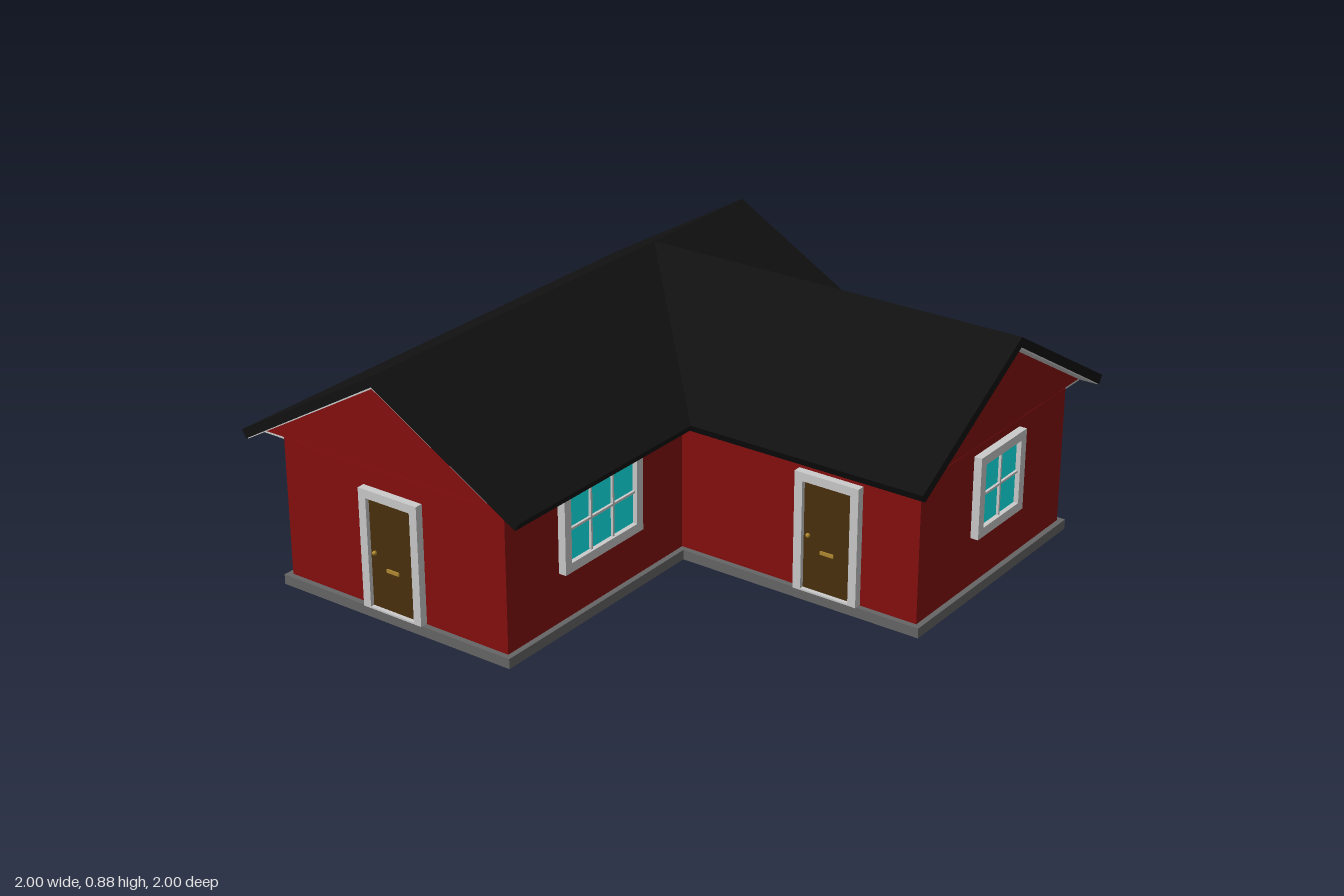
import * as THREE from 'three';

const mat = (color) => new THREE.MeshStandardMaterial({ color, flatShading: true });
const RED = mat(0x860f0f), BLACK = mat(0x111111), TRIM = mat(0xcccccc), STONE = mat(0x666666);
const GLASS = mat(0x0ff5f5), WOOD = mat(0x4a300c), METAL = mat(0xb08a30);

const RIDGE_X = 0.432, RIDGE_Z = -0.432; // ridge lines of the wing and of the main block

function add(parent, name, geometry, material, x = 0, y = 0, z = 0) {
  const mesh = new THREE.Mesh(geometry, material);
  mesh.name = name;
  mesh.position.set(x, y, z);
  parent.add(mesh);
  return mesh;
}

// L-shaped plan raised from y0 to y1, grown outwards by o
function plan(o, y0, y1) {
  const corners = [[-0.93 - o, 0.885 + o], [0.88 + o, 0.885 + o], [0.88 + o, -0.93 - o],
    [-0.025 - o, -0.93 - o], [-0.025 - o, -0.02 - o], [-0.93 - o, -0.02 - o]];
  const shape = new THREE.Shape(corners.map(([x, y]) => new THREE.Vector2(x, y)));
  return new THREE.ExtrudeGeometry(shape, { depth: y1 - y0, bevelEnabled: false })
    .rotateX(-Math.PI / 2).translate(0, y0, 0);
}

// Mirrored half profile [u, y], extruded from a to b along z;
// mitred ends slant back towards the main ridge so the wing tucks into the main roof
function gable(half, a, b, mitred) {
  const mirrored = half.filter(([u]) => u > 0).reverse().map(([u, y]) => [-u, y]);
  // the profile runs from the top of the ridge, around the right side, to the lower ridge
  const last = half[half.length - 1];
  const points = last[0] === 0
    ? [...half, ...mirrored]
    : [...half, ...mirrored];
  const shape = new THREE.Shape(points.map(([u, y]) => new THREE.Vector2(u, y)));
  const g = new THREE.ExtrudeGeometry(shape, { depth: b - a, bevelEnabled: false }).translate(0, 0, a);
  if (mitred) {
    const p = g.attributes.position;
    for (let i = 0; i < p.count; i++) {
      if (Math.abs(p.getZ(i) - a) < 1e-4) p.setZ(i, RIDGE_Z + Math.abs(p.getX(i)) * 0.8);
    }
    g.computeVertexNormals();
  }
  return g;
}

const SLAB = [[0, 0.875], [0.568, 0.547], [0.552, 0.519], [0, 0.84]];
const LINING = [[0, 0.842], [0.549, 0.525], [0.546, 0.519], [0, 0.834]];
const ATTIC = [[0, 0.84], [0.545, 0.525]];

// Attic, roof slab, grey lining under the overhang, and flat soffit
function gableRoof(name, a, b, wallA, wallB, mitred) {
  const roof = new THREE.Group();
  roof.name = name;
  add(roof, 'roofSlab', gable(SLAB, a, b, mitred), BLACK);
  add(roof, 'roofLining', gable(LINING, mitred ? a : a + 0.003, b - 0.003, mitred), TRIM);
  add(roof, 'gableWall', gable(ATTIC, wallA, wallB, mitred), RED);
  const s0 = mitred ? 0.022 : wallA + 0.002, s1 = wallB - 0.002;
  add(roof, 'soffit', new THREE.BoxGeometry(1.088, 0.01, s1 - s0), TRIM, 0, 0.522, (s0 + s1) / 2);
  return roof;
}

// Rectangular frame with an opening, standing on the z = 0 plane
function frame(w, h, border, bottom, depth) {
  const rect = (target, l, r, b, t) => {
    target.moveTo(l, b); target.lineTo(r, b); target.lineTo(r, t); target.lineTo(l, t);
    target.closePath();
    return target;
  };
  const shape = rect(new THREE.Shape(), -w / 2, w / 2, -h / 2, h / 2);
  shape.holes.push(rect(new THREE.Path(), -w / 2 + border, w / 2 - border, -h / 2 + bottom, h / 2 - border));
  return new THREE.ExtrudeGeometry(shape, { depth, bevelEnabled: false });
}

function windowUnit(w, columns) {
  const g = new THREE.Group(), h = 0.288, border = 0.032;
  g.name = 'window';
  const iw = w - 2 * border, ih = h - 2 * border;
  add(g, 'windowFrame', frame(w, h, border, border, 0.028), TRIM);
  add(g, 'glass', new THREE.BoxGeometry(iw, ih, 0.01), GLASS, 0, 0, 0.006);
  for (let i = 1; i < columns; i++) {
    add(g, 'verticalBar', new THREE.BoxGeometry(0.008, ih, 0.012), TRIM, -iw / 2 + iw * i / columns, 0, 0.014);
  }
  add(g, 'crossBar', new THREE.BoxGeometry(iw, 0.008, 0.012), TRIM, 0, 0, 0.014);
  return g;
}

function doorUnit() {
  const g = new THREE.Group(), w = 0.24, h = 0.418;
  g.name = 'door';
  add(g, 'doorFrame', frame(w, h, 0.03, 0.006, 0.028), TRIM);
  add(g, 'doorLeaf', new THREE.BoxGeometry(w - 0.06, h - 0.036, 0.012), WOOD, 0, -0.012, 0.007);
  add(g, 'doorKnob', new THREE.SphereGeometry(0.008, 10, 8), METAL, -0.07, -0.01, 0.02);
  add(g, 'mailSlot', new THREE.BoxGeometry(0.05, 0.012, 0.006), METAL, 0, -0.06, 0.015);
  return g;
}

export function createModel() {
  const house = new THREE.Group();
  house.name = 'house';

  add(house, 'foundation', plan(0.02, 0, 0.035), STONE);
  add(house, 'walls', plan(0, 0.035, 0.524), RED);

  // Main roof runs along x, wing roof along z
  const main = gableRoof('mainRoof', -1, 0.955, -0.93, 0.88, false);
  main.rotation.y = Math.PI / 2;
  main.position.z = RIDGE_Z;
  const wing = gableRoof('wingRoof', RIDGE_Z, 1, RIDGE_Z, 0.93, true);
  wing.position.x = RIDGE_X;
  house.add(main, wing);

  const place = (unit, x, y, z, turn) => {
    unit.position.set(x, y, z);
    unit.rotation.y = turn * Math.PI / 2;
    house.add(unit);
  };

  // Windows: front, right-hand wall and back
  const wy = 0.352;
  place(windowUnit(0.285, 2), 0.435, wy, 0.93, 0);
  place(windowUnit(0.4, 3), -0.475, wy, 0.02, 0);
  for (const z of [0.595, 0, -0.6]) place(windowUnit(0.285, 2), 0.88, wy, z, 1);
  for (const x of [0.57, -0.02, -0.61]) place(windowUnit(0.285, 2), x, wy, -0.885, 2);

  // Doors: end of the main block and inner side of the wing
  place(doorUnit(), -0.93, 0.246, -0.43, -1);
  place(doorUnit(), -0.025, 0.246, 0.6, -1);

  return house;
}
